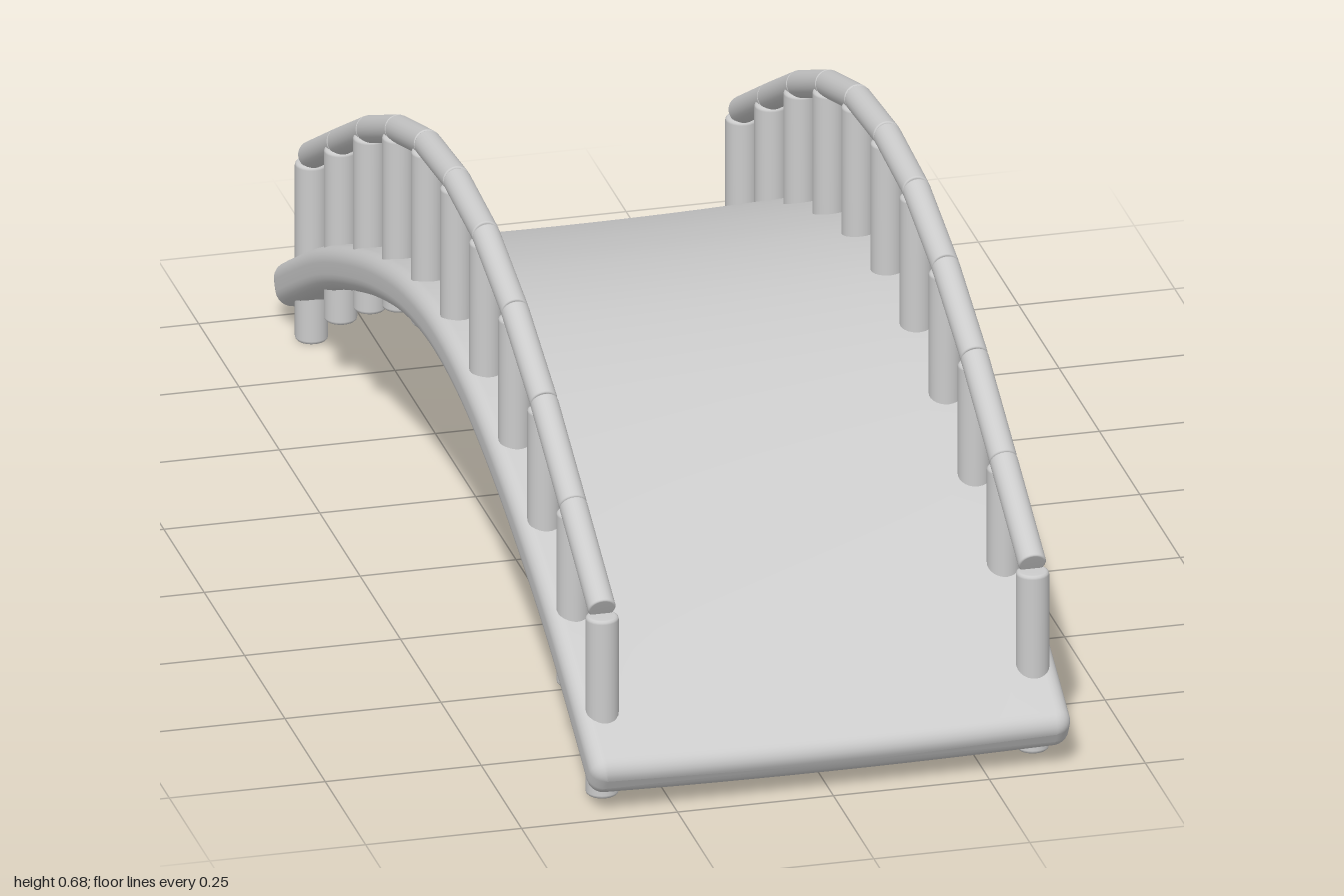
import * as THREE from 'three';

const W = 0.386, H = 0.035, R = 0.026; // deck half width, half thickness, edge radius
const material = new THREE.MeshStandardMaterial({ color: 0xcccccc });

// Height of the deck centre line at each distance from the middle
const half = [[0, 0.395], [0.18, 0.379], [0.36, 0.336], [0.54, 0.275], [0.72, 0.2], [0.9, 0.105], [0.99, 0.054]];
// Rail height above each post position, and height of the post foot
const railY = [0.655, 0.64, 0.588, 0.51, 0.412, 0.312];
const footY = [0.35, 0.335, 0.285, 0.205, 0.11, 0];

// Rounded rectangle, counter-clockwise, pulled in by d
function section(d) {
  const pts = [], r = R - d, cx = W - R, cy = H - R;
  for (let q = 0; q < 4; q++) {
    const sx = q === 0 || q === 3 ? 1 : -1, sy = q < 2 ? 1 : -1;
    for (let k = 0; k <= 6; k++) {
      const a = (q + k / 6) * Math.PI / 2;
      pts.push([sx * cx + r * Math.cos(a), sy * cy + r * Math.sin(a)]);
    }
    // Extra points across the top and bottom so the deck can sag
    if (q % 2 === 0) for (let k = 1; k < 12; k++) pts.push([sx * cx * (1 - k / 6), sy * (cy + r)]);
  }
  return pts;
}

function deckGeometry() {
  const all = [...half.slice(1).reverse().map(([z, y]) => [-z, y]), ...half];
  const path = new THREE.CatmullRomCurve3(all.map(([z, y]) => new THREE.Vector3(0, y, z)));
  const len = path.getLength(), stations = [];
  for (let k = 0; k <= 6; k++) { // rounded ends
    const a = k / 6 * Math.PI / 2;
    stations.push([R * (1 - Math.cos(a)), R * (1 - Math.sin(a))]);
  }
  const tail = stations.map(([s, d]) => [len - s, d]).reverse();
  for (let k = 1; k < 60; k++) stations.push([R + (len - 2 * R) * k / 60, 0]);
  stations.push(...tail);

  const pos = [], idx = [];
  const put = (s, u, v) => {
    const p = path.getPointAt(s / len), t = path.getTangentAt(s / len);
    const n = v - 0.008 * (1 - (u / W) ** 2);
    pos.push(u, p.y + t.z * n, p.z - t.y * n);
  };
  let N = 0;
  for (const [s, d] of stations) {
    const pts = section(d);
    N = pts.length;
    for (const [u, v] of pts) put(s, u, v);
  }
  const M = stations.length;
  for (let i = 0; i < M - 1; i++) for (let j = 0; j < N; j++) {
    const a = i * N + j, b = i * N + (j + 1) % N, c = a + N, d = b + N;
    idx.push(a, b, c, b, d, c);
  }
  // End faces
  put(0, 0, 0);
  put(len, 0, 0);
  for (let j = 0; j < N; j++) {
    const k = (j + 1) % N, e = (M - 1) * N;
    idx.push(M * N, k, j, M * N + 1, e + j, e + k);
  }
  const g = new THREE.BufferGeometry();
  g.setAttribute('position', new THREE.Float32BufferAttribute(pos, 3));
  g.setIndex(idx);
  g.computeVertexNormals();
  return g;
}

// Round bar along y from 0 to h with softened end edges
function bar(r, h, b) {
  const pts = [new THREE.Vector2(0, 0), new THREE.Vector2(r - b, 0)];
  for (let k = 1; k <= 3; k++) {
    const a = k / 3 * Math.PI / 2;
    pts.push(new THREE.Vector2(r - b + b * Math.sin(a), b - b * Math.cos(a)));
  }
  const top = pts.map(p => new THREE.Vector2(p.x, h - p.y)).reverse();
  return new THREE.LatheGeometry([...pts, ...top], 24);
}

export function createModel() {
  const group = new THREE.Group();
  const add = (parent, geometry, name) => {
    const mesh = new THREE.Mesh(geometry, material);
    mesh.name = name;
    parent.add(mesh);
    return mesh;
  };
  add(group, deckGeometry(), 'deck');

  for (const side of [-1, 1]) {
    const railing = new THREE.Group();
    railing.name = side > 0 ? 'leftRailing' : 'rightRailing';
    railing.position.x = side * 0.345;
    group.add(railing);

    for (let i = -5; i <= 5; i++) {
      const k = Math.abs(i);
      const post = add(railing, bar(0.026, railY[k] - 0.01 - footY[k], 0.006), 'post');
      post.position.set(0, footY[k], i * 0.18);
      if (i === 5) continue;
      // Straight handrail piece to the next post
      const a = new THREE.Vector3(0, railY[k], i * 0.18);
      const b = new THREE.Vector3(0, railY[Math.abs(i + 1)], (i + 1) * 0.18);
      const rail = add(railing, bar(0.022, a.distanceTo(b), 0.003), 'handrail');
      rail.position.copy(a);
      rail.quaternion.setFromUnitVectors(new THREE.Vector3(0, 1, 0), b.sub(a).normalize());
    }
  }
  return group;
}
